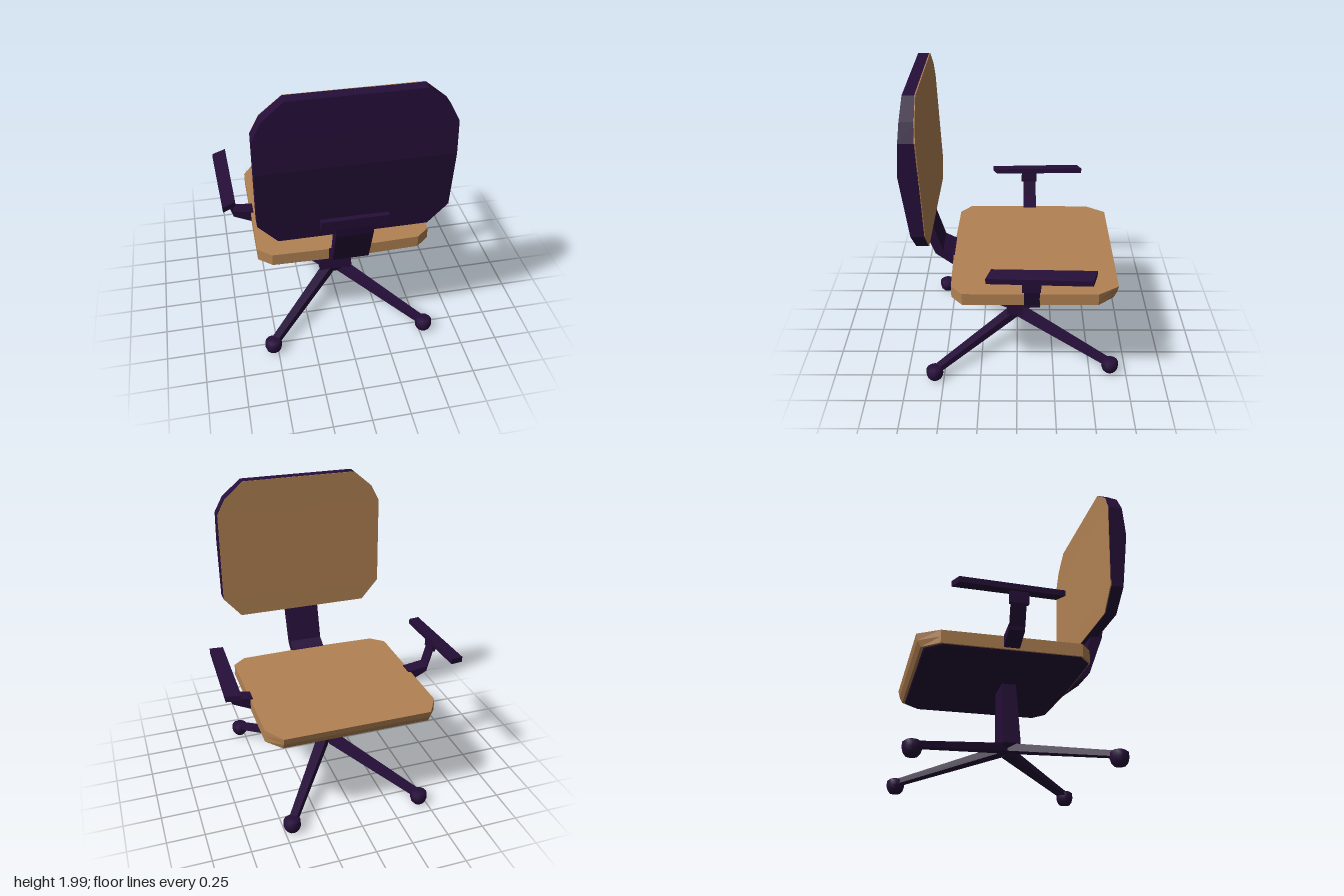
import * as THREE from 'three';

const dark = new THREE.MeshStandardMaterial({ color: 0x250e38 });
dark.name = 'dark plastic';
const tan = new THREE.MeshStandardMaterial({ color: 0xb28253 });
tan.name = 'tan upholstery';

// Flat-faced solid through a stack of equal-length convex rings of [x, y, z]
function loft(rings) {
  const n = rings[0].length, last = rings.length - 1;
  const tris = [];
  for (let i = 0; i < last; i++) {
    for (let j = 0; j < n; j++) {
      const k = (j + 1) % n;
      const a = rings[i][j], b = rings[i][k], c = rings[i + 1][k], d = rings[i + 1][j];
      tris.push([a, b, c], [a, c, d]);
    }
  }
  for (let j = 1; j < n - 1; j++) {
    tris.push([rings[0][0], rings[0][j + 1], rings[0][j]]);
    tris.push([rings[last][0], rings[last][j], rings[last][j + 1]]);
  }
  // A negative volume means the rings run the other way round
  const v = (p) => new THREE.Vector3(...p);
  const volume = tris.reduce((sum, [a, b, c]) => sum + v(a).dot(v(b).cross(v(c))), 0);
  if (volume < 0) tris.forEach((t) => t.reverse());
  const geometry = new THREE.BufferGeometry();
  geometry.setAttribute('position', new THREE.Float32BufferAttribute(tris.flat(2), 3));
  geometry.computeVertexNormals();
  return geometry;
}

// Horizontal rectangle at height y
const rect = (y, x0, x1, z0, z1) => [[x0, y, z1], [x1, y, z1], [x1, y, z0], [x0, y, z0]];

export function createModel() {
  const chair = new THREE.Group();
  chair.name = 'officeChair';
  const add = (name, geometry, material = dark, parent = chair) => {
    const mesh = new THREE.Mesh(geometry, material);
    mesh.name = name;
    parent.add(mesh);
    return mesh;
  };

  // Seat cushion: cut-corner outline whose far edge slopes in towards the bottom
  const half = [[0, 0.438], [0.49, 0.425], [0.578, 0.35], [0.578, -0.52], [0.49, -0.655]];
  const outline = [...half, ...half.slice(1).reverse().map(([x, z]) => [-x, z])];
  const seatRing = (y, front, sx = 1, sz = 1) =>
    outline.map(([x, z]) => [x * sx, y, (z < -0.6 ? front : z) * sz]);
  add('seatCushion', loft([
    seatRing(0.66, -0.625), seatRing(0.7, -0.645), seatRing(0.743, -0.655),
  ]), tan);
  add('seatPan', loft([
    seatRing(0.634, -0.62, 0.25, 0.25), seatRing(0.648, -0.62, 0.97, 0.97), seatRing(0.661, -0.62, 0.98, 0.98),
  ]));

  // Backrest: rows of [height, half width, inner z, outer z]
  const rows = [
    [1.03, 0.465, 0.553, 0.63], [1.17, 0.587, 0.557, 0.642], [1.57, 0.587, 0.57, 0.69],
    [1.78, 0.587, 0.577, 0.674], [1.89, 0.53, 0.58, 0.666], [2.0, 0.4, 0.583, 0.658],
  ];
  add('backrestShell', loft(rows.map(([y, w, z0, z1]) => rect(y, -w, w, z0, z1))));
  add('backrestPad', loft(rows.map(([y, w, z0]) => rect(y, -w, w, z0 - 0.004, z0 + 0.003))), tan);

  // Bent bar joining seat and backrest: [lower z, lower y, upper z, upper y]
  const bar = [
    [0.38, 0.655, 0.38, 0.735], [0.44, 0.665, 0.44, 0.745], [0.557, 0.755, 0.505, 0.78],
    [0.66, 1.03, 0.58, 1.03], [0.672, 1.12, 0.59, 1.12],
  ];
  const w = 0.118;
  add('backSupport', loft(bar.map(([z0, y0, z1, y1]) =>
    [[-w, y0, z0], [w, y0, z0], [w, y1, z1], [-w, y1, z1]])));
  add('backBracket', loft([
    rect(1.095, -0.21, 0.21, 0.57, 0.672), rect(1.165, -0.21, 0.21, 0.57, 0.676),
  ]));

  // Tapered column with a narrow hub under it
  add('column', loft([
    rect(0.195, -0.055, 0.055, -0.035, 0.06),
    rect(0.235, -0.118, 0.118, -0.04, 0.075),
    rect(0.645, -0.095, 0.095, -0.04, 0.052),
  ]));

  // Legs and feet
  const footProfile = [[0, 0.006], [0.035, 0.01], [0.05, 0.028], [0.058, 0.055], [0.056, 0.09], [0.04, 0.102], [0, 0.104]];
  for (const s of [1, -1]) {
    for (const [fx, fz, end] of [[0.53, 0.56, 'back'], [0.45, -0.64, 'front']]) {
      const start = new THREE.Vector3(s * 0.04, 0.22, Math.sign(fz) * 0.02);
      const tip = new THREE.Vector3(s * fx, 0.078, fz);
      const side = new THREE.Vector3(tip.z - start.z, 0, start.x - tip.x).normalize();
      const ring = (p, hw, hh) => [[-1, -1], [1, -1], [0.8, 1], [-0.8, 1]].map(([a, b]) =>
        [p.x + side.x * hw * a, p.y + hh * b, p.z + side.z * hw * a]);
      const leg = new THREE.Group();
      leg.name = `${end}${s > 0 ? 'Left' : 'Right'}Leg`;
      chair.add(leg);
      add('legBeam', loft([ring(start, 0.045, 0.026), ring(tip, 0.03, 0.018)]), dark, leg);
      const foot = new THREE.LatheGeometry(footProfile.map(([r, y]) => new THREE.Vector2(r, y)), 12);
      add('foot', foot, dark, leg).position.set(tip.x, 0, tip.z);
    }
  }

  // Armrests, mirrored
  for (const s of [1, -1]) {
    const arm = new THREE.Group();
    arm.name = s > 0 ? 'leftArmrest' : 'rightArmrest';
    chair.add(arm);
    // Section in x and y, carried between two z values
    const slab = (points, z0, z1) =>
      loft([z0, z1].map((z) => points.map(([x, y]) => [s * x, y, z])));
    add('armBase', slab([[0.56, 0.662], [0.7, 0.73], [0.705, 0.768], [0.56, 0.747]], -0.142, -0.045), dark, arm);
    add('armStrip', slab([[0.695, 0.755], [0.706, 0.755], [0.744, 0.89], [0.733, 0.89]], -0.14, -0.045), dark, arm);
    add('armPost', slab([[0.728, 0.88], [0.755, 0.88], [0.755, 0.975], [0.728, 0.975]], -0.147, -0.032), dark, arm);
    // Pad: toed in slightly, ends cut at an angle, outer edge lower
    const pad = [[0.685, 0.155, 0], [0.77, 0.187, -0.013], [0.795, -0.457, -0.013], [0.702, -0.487, 0]];
    add('armPad', loft([0.967, 1.004].map((y) => pad.map(([x, z, d]) => [s * x, y + d, z]))), dark, arm);
  }
  return chair;
}
